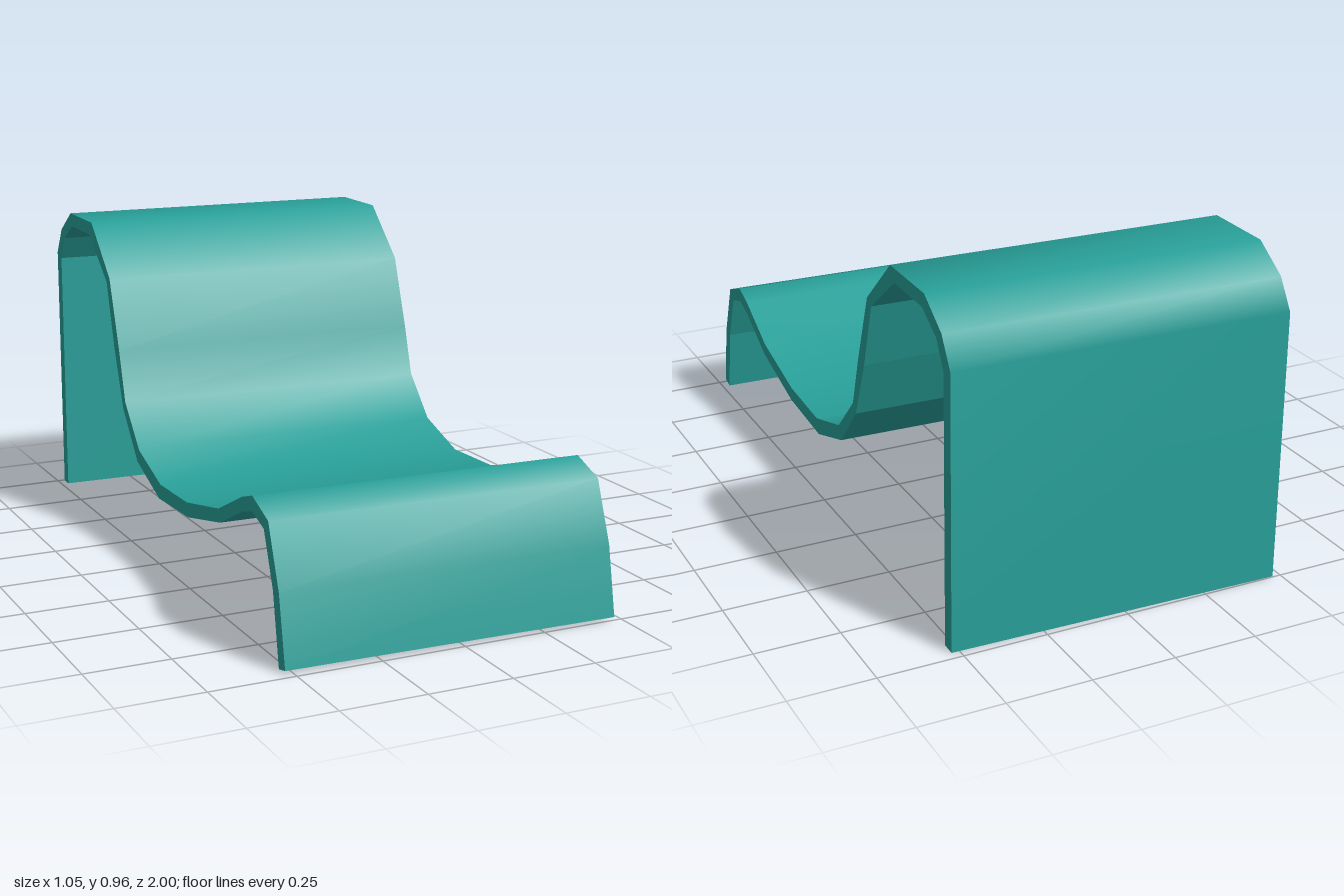
import * as THREE from 'three';

const HALF_WIDTH = 0.5;

// Profiles as [z, y], running from the front foot over the seat and back to the rear foot
const outer = [
  [0.99, 0.01], [0.95, 0.21], [0.88, 0.385], [0.77, 0.424], [0.695, 0.4], [0.52, 0.318],
  [0.265, 0.265], [0.035, 0.257], [-0.16, 0.316], [-0.285, 0.44], [-0.335, 0.595],
  [-0.415, 0.81], [-0.59, 0.964], [-0.82, 0.964], [-0.93, 0.895], [-0.985, 0.81], [-0.985, 0],
];
const inner = [
  [0.948, 0], [0.91, 0.205], [0.85, 0.355], [0.77, 0.38], [0.7, 0.36], [0.53, 0.28],
  [0.272, 0.222], [0.02, 0.21], [-0.178, 0.275], [-0.307, 0.415], [-0.382, 0.595],
  [-0.446, 0.795], [-0.618, 0.922], [-0.805, 0.922], [-0.897, 0.87], [-0.942, 0.795], [-0.942, 0],
];

// Sweeps a profile across the full width
function strip(profile, smooth) {
  const positions = [];
  const index = [];
  profile.forEach(([z, y], i) => {
    positions.push(HALF_WIDTH, y, z, -HALF_WIDTH, y, z);
    if (i === 0) return;
    const a = 2 * (i - 1);
    index.push(a, a + 2, a + 1, a + 2, a + 3, a + 1);
  });
  let geometry = new THREE.BufferGeometry();
  geometry.setAttribute('position', new THREE.Float32BufferAttribute(positions, 3));
  geometry.setIndex(index);
  if (!smooth) geometry = geometry.toNonIndexed();
  geometry.computeVertexNormals();
  return geometry;
}

// Flat cut edge showing the thickness of the sheet; side is +1 or -1
function cutEdge(side) {
  const outline = [...outer, ...[...inner].reverse()];
  const shape = new THREE.Shape(outline.map(([z, y]) => new THREE.Vector2(-side * z, y)));
  const geometry = new THREE.ShapeGeometry(shape);
  geometry.rotateY(side * Math.PI / 2);
  geometry.translate(side * HALF_WIDTH, 0, 0);
  return geometry;
}

export function createModel() {
  const teal = new THREE.MeshStandardMaterial({ color: 0x289f98 });
  teal.name = 'teal';

  const group = new THREE.Group();
  group.name = 'bentSheetChair';
  const add = (name, geometry) => {
    const mesh = new THREE.Mesh(geometry, teal);
    mesh.name = name;
    group.add(mesh);
  };

  add('upperSurface', strip(outer, true));
  // Underside, including the soles of both feet
  add('underside', strip([outer[outer.length - 1], ...[...inner].reverse(), outer[0]], false));
  add('leftCutEdge', cutEdge(1));
  add('rightCutEdge', cutEdge(-1));

  // The chair stands turned very slightly
  group.rotation.y = -0.024;
  return group;
}
